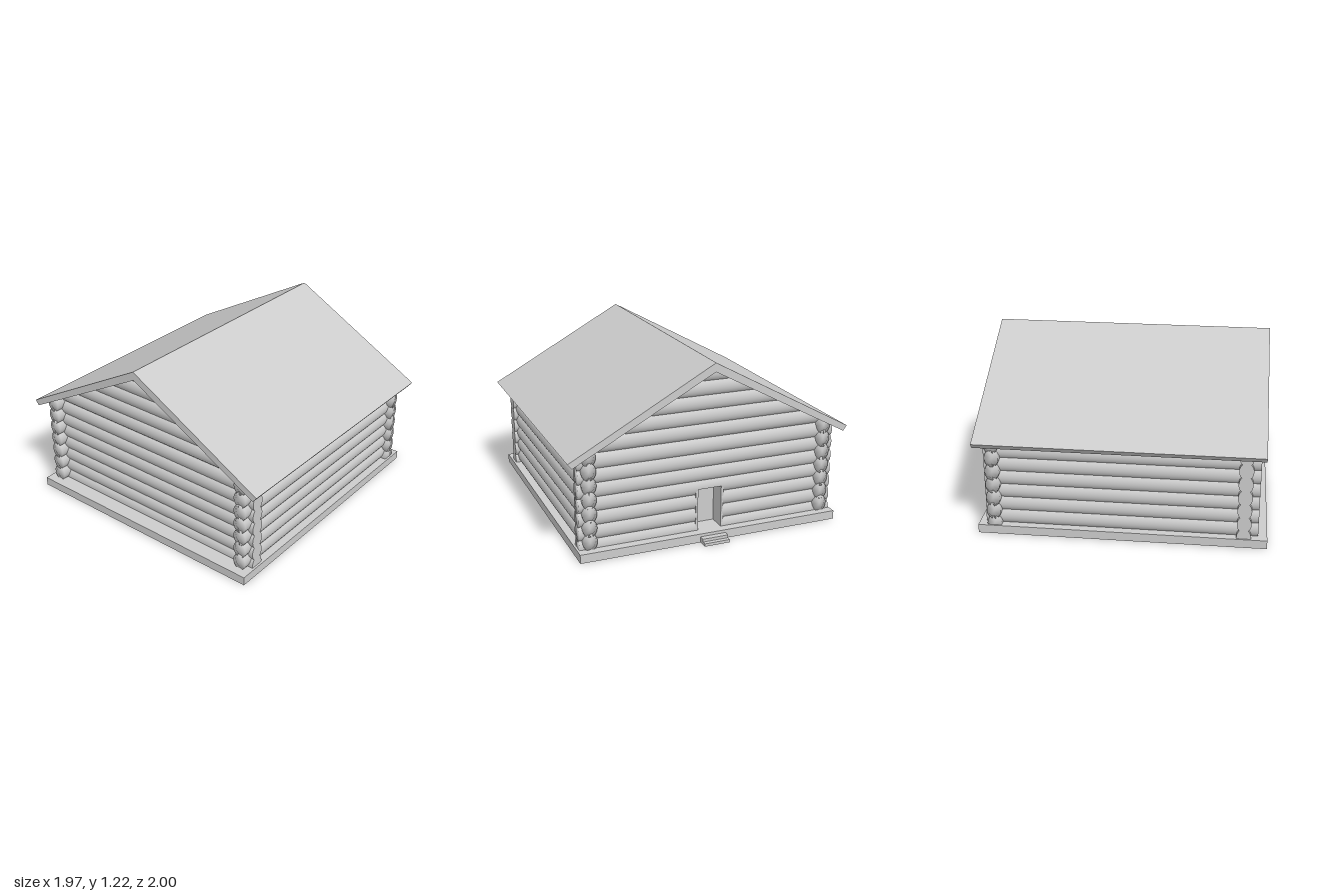
import * as THREE from 'three';

const RX = 0.048, RY = 0.06, PITCH = 0.0957;
const material = new THREE.MeshStandardMaterial({ color: 0xcccccc });

function add(parent, name, geometry, x = 0, y = 0, z = 0) {
  const mesh = new THREE.Mesh(geometry, material);
  mesh.name = name;
  mesh.position.set(x, y, z);
  parent.add(mesh);
  return mesh;
}

function box(parent, name, x0, x1, y0, y1, z0, z1) {
  return add(parent, name, new THREE.BoxGeometry(x1 - x0, y1 - y0, z1 - z0),
    (x0 + x1) / 2, (y0 + y1) / 2, (z0 + z1) / 2);
}

// Oval log lying along x; softEnds tilts the rim normals of the end caps
function logGeometry(length, softEnds) {
  const g = new THREE.CylinderGeometry(1, 1, length, 24);
  g.rotateZ(Math.PI / 2);
  if (softEnds) {
    const p = g.attributes.position, n = g.attributes.normal;
    for (let i = 0; i < p.count; i++) {
      if (Math.abs(n.getX(i)) < 0.9) continue;
      const v = new THREE.Vector3(Math.sign(n.getX(i)), p.getY(i), p.getZ(i)).normalize();
      n.setXYZ(i, v.x, v.y, v.z);
    }
  }
  g.scale(1, RY, RX);
  return g;
}

function xLog(parent, name, x0, x1, y, z, soft = false) {
  return add(parent, name, logGeometry(x1 - x0, soft), (x0 + x1) / 2, y, z);
}

// Lift every vertex of a log that lies below a height
function trimBelow(mesh, height) {
  const p = mesh.geometry.attributes.position;
  for (let i = 0; i < p.count; i++) p.setY(i, Math.max(p.getY(i), height - mesh.position.y));
}

export function createModel() {
  const cabin = new THREE.Group();
  cabin.name = 'logCabin';

  // Foundation slab and the two doorsteps at the back
  box(cabin, 'foundation', -0.92, 0.92, 0, 0.06, -0.93, 1);
  box(cabin, 'upperStep', -0.09, 0.09, 0, 0.04, -0.97, -0.93);
  box(cabin, 'lowerStep', -0.09, 0.09, 0, 0.02, -1, -0.97);

  // Side walls, raised half a log so the corners interlock
  for (const side of [1, -1]) {
    const wall = new THREE.Group();
    wall.name = side > 0 ? 'leftWall' : 'rightWall';
    cabin.add(wall);
    for (let i = 0; i < 7; i++) {
      const g = logGeometry(1.82, true);
      g.rotateY(Math.PI / 2);
      add(wall, 'sideLog', g, side * 0.835, 0.11 + i * PITCH, 0.03);
    }
  }

  // Front and back walls; the back one is interrupted by the doorway
  const front = new THREE.Group(), back = new THREE.Group();
  front.name = 'frontWall';
  back.name = 'backWall';
  cabin.add(front, back);
  const doorHalf = 0.085, doorTop = 0.35;
  for (let i = 0; i < 7; i++) {
    const y = 0.07 + i * PITCH;
    const f = xLog(front, 'frontLog', -0.91, 0.905, y, 0.845);
    if (i === 0) trimBelow(f, 0.03);
    if (i > 3) {
      xLog(back, 'backLog', -0.91, 0.905, y, -0.82, true);
      continue;
    }
    const pieces = [
      xLog(back, 'backLog', -0.91, -doorHalf, y, -0.82, true),
      xLog(back, 'backLog', doorHalf, 0.905, y, -0.82, true),
    ];
    if (i === 0) pieces.forEach((m) => trimBelow(m, 0.03));
    if (i === 3) trimBelow(xLog(back, 'doorLintel', -doorHalf, doorHalf, y, -0.82), doorTop);
  }

  // Recessed door with its jambs
  const doorway = new THREE.Group();
  doorway.name = 'doorway';
  cabin.add(doorway);
  box(doorway, 'door', -0.1, 0.1, 0.06, 0.4, -0.745, -0.725);
  for (const s of [1, -1]) {
    const x = s * (doorHalf + 0.006);
    box(doorway, 'doorJamb', x - 0.008, x + 0.008, 0.06, doorTop, -0.866, -0.735);
  }

  // Gable logs with their ends cut to the roof slope
  for (const [name, z] of [['frontGable', 0.845], ['backGable', -0.82]]) {
    const gable = new THREE.Group();
    gable.name = name;
    cabin.add(gable);
    for (let i = 0; i < 5; i++) {
      const y = 0.75 + i * 0.0955;
      const mesh = xLog(gable, 'gableLog', -1, 1, y, z);
      if (i === 0) trimBelow(mesh, 0.69);
      const p = mesh.geometry.attributes.position;
      for (let k = 0; k < p.count; k++) {
        const reach = Math.max(0, (1.168 - y - p.getY(k)) / 0.538);
        p.setX(k, Math.sign(p.getX(k)) * reach);
      }
    }
  }

  // Pitched roof slab
  const profile = new THREE.Shape([
    [0, 1.22], [-0.985, 0.68], [-0.958, 0.645], [0, 1.16], [0.958, 0.645], [0.985, 0.68],
  ].map(([x, y]) => new THREE.Vector2(x, y)));
  add(cabin, 'roof', new THREE.ExtrudeGeometry(profile, { depth: 1.9, bevelEnabled: false }), 0, 0, -0.93);

  return cabin;
}
